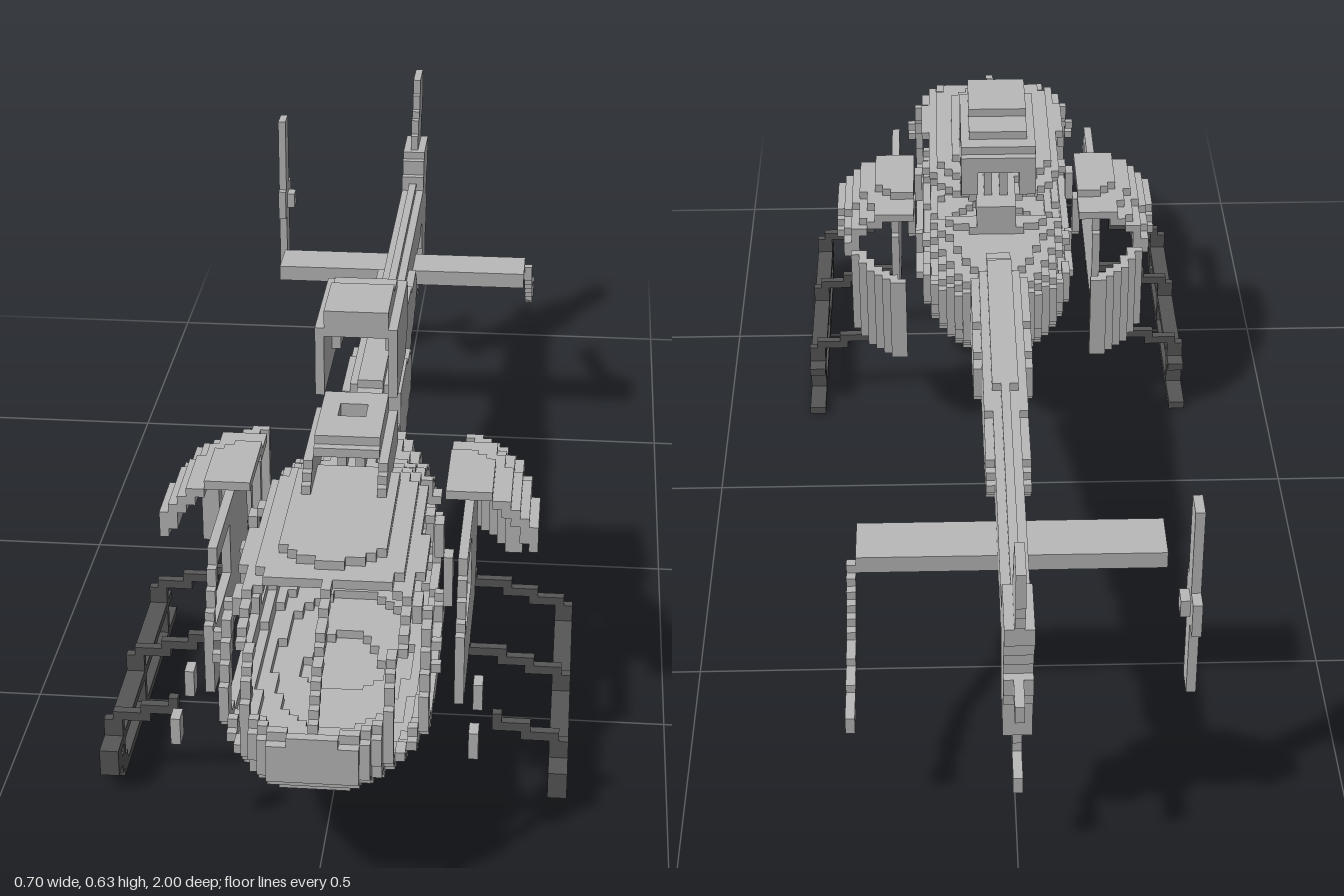
import * as THREE from 'three';

const N = 70; // cells per unit
const grey = new THREE.MeshStandardMaterial({ color: 0xb9b9b9 });
grey.name = 'light grey';
const dark = new THREE.MeshStandardMaterial({ color: 0x575757 });
dark.name = 'dark grey';

const within = (v, a, b) => v >= a && v <= b;
const near = (v, a, r) => Math.abs(v - a) <= r;

// Straight-line lookup in a rising list of [position, value] pairs
function at(table, p) {
  if (p <= table[0][0]) return table[0][1];
  for (let i = 1; i < table.length; i++) {
    const [a, u] = table[i - 1], [b, v] = table[i];
    if (p <= b) return u + (v - u) * (p - a) / (b - a);
  }
  return table[table.length - 1][1];
}

// Fills the cells that pass the test and keeps only their outer faces
function cells(name, material, [x0, x1, y0, y1, z0, z1], test) {
  const lo = [Math.floor(x0 * N), Math.floor(y0 * N), Math.floor(z0 * N)];
  const hi = [Math.ceil(x1 * N), Math.ceil(y1 * N), Math.ceil(z1 * N)];
  const full = new Set();
  const key = (i, j, k) => `${i},${j},${k}`;
  for (let i = lo[0]; i <= hi[0]; i++)
    for (let j = lo[1]; j < hi[1]; j++)
      for (let k = lo[2]; k < hi[2]; k++)
        if (test(i / N, (j + 0.5) / N, (k + 0.5) / N)) full.add(key(i, j, k));
  const pos = [], nor = [], idx = [];
  for (const c of full) {
    const p = c.split(',').map(Number);
    for (let a = 0; a < 3; a++) for (const s of [1, -1]) {
      const q = p.slice();
      q[a] += s;
      if (full.has(key(...q))) continue;
      const b = (a + 1) % 3, d = (a + 2) % 3, n = [0, 0, 0], v = pos.length / 3;
      n[a] = s;
      for (const [u, w] of [[-1, -1], [1, -1], [1, 1], [-1, 1]]) {
        const e = [p[0], p[1] + 0.5, p[2] + 0.5];
        e[a] += s / 2; e[b] += u / 2; e[d] += w / 2;
        pos.push(e[0] / N, e[1] / N, e[2] / N);
        nor.push(...n);
      }
      idx.push(...(s > 0 ? [v, v + 1, v + 2, v, v + 2, v + 3] : [v, v + 2, v + 1, v, v + 3, v + 2]));
    }
  }
  const g = new THREE.BufferGeometry();
  g.setAttribute('position', new THREE.Float32BufferAttribute(pos, 3));
  g.setAttribute('normal', new THREE.Float32BufferAttribute(nor, 3));
  g.setIndex(idx);
  const mesh = new THREE.Mesh(g, material);
  mesh.name = name;
  return mesh;
}

// Fuselage outline along z: half width, underside and top
const WIDTH = [[0.11, 0.04], [0.14, 0.06], [0.2, 0.1], [0.3, 0.13], [0.4, 0.15], [0.5, 0.158], [0.76, 0.166], [0.85, 0.15], [0.92, 0.12], [0.97, 0.085], [1, 0.06]];
const BELLY = [[0.14, 0.2], [0.2, 0.165], [0.3, 0.135], [0.45, 0.108], [0.6, 0.102], [0.8, 0.125], [0.9, 0.145], [0.97, 0.175], [1, 0.2]];
const TOP = [[0.14, 0.335], [0.3, 0.35], [0.4, 0.39], [0.48, 0.415], [0.7, 0.415], [0.8, 0.4], [0.9, 0.355], [0.97, 0.295], [1, 0.26]];
function inBody(x, y, z) {
  if (z < 0.13 || z > 1) return false;
  const lo = at(BELLY, z), hi = at(TOP, z);
  return Math.abs(x / at(WIDTH, z)) ** 2.8 + Math.abs((y - (lo + hi) / 2) / ((hi - lo) / 2)) ** 2.8 <= 1;
}
function onSkin(x, y, z) {
  const s = 1 / N;
  return inBody(x, y, z) && !(inBody(x + s, y, z) && inBody(x - s, y, z) && inBody(x, y + s, z)
    && inBody(x, y - s, z) && inBody(x, y, z + s) && inBody(x, y, z - s));
}

export function createModel() {
  const model = new THREE.Group();
  const add = (...a) => model.add(cells(...a));
  const body = [-0.18, 0.18, 0.09, 0.43, 0.1, 1];

  // Cabin tub, nose, roof and window posts cut from the skin
  add('lowerHull', grey, body, (x, y, z) => onSkin(x, y, z) && (y < 0.185 || (z > 0.93 && y < 0.27)));
  add('roof', grey, body, (x, y, z) => onSkin(x, y, z) && y > 0.375 && within(z, 0.36, 0.79));
  add('windowPosts', grey, body, (x, y, z) => {
    if (!onSkin(x, y, z) || y < 0.185) return false;
    const ax = Math.abs(x);
    const windshield = z > 0.76 && (ax < 0.011 || near(ax, at([[0.185, 0.09], [0.4, 0.115]], y), 0.008));
    const front = near(z, at([[0.18, 0.865], [0.4, 0.765]], y), 0.018) && ax > 0.1;
    const sill = z > 0.8 && y < 0.2;
    return windshield || front || sill || (near(z, 0.51, 0.012) && ax > 0.1);
  });

  // Engine bay behind the cabin
  add('engineDeck', grey, body, (x, y, z) => z < 0.36 && y > 0.298 && y < 0.345 && inBody(x, y, z));
  add('engineBlock', grey, body, (x, y, z) => within(z, 0.14, 0.37) && y > 0.17 && y < 0.31
    && Math.abs(x) < 0.085 && inBody(x, y, z));
  add('rearSkin', grey, body, (x, y, z) => z < 0.34 && y > 0.18 && onSkin(x, y, z)
    && !(within(y, 0.26, 0.3) && z > 0.26));
  add('gearbox', grey, [-0.04, 0.04, 0.33, 0.4, 0.3, 0.42], (x) => Math.abs(x) < 0.037);
  add('rearCap', grey, [-0.03, 0.03, 0.33, 0.4, 0.1, 0.19], (x, y, z) =>
    Math.abs(x) < 0.025 && near(y, at([[0.11, 0.38], [0.19, 0.345]], z), 0.016));

  // Open-ended intake fairing on the roof
  add('intakeFairing', grey, [-0.07, 0.07, 0.4, 0.48, 0.35, 0.57], (x, y, z) => {
    const ax = Math.abs(x);
    if (z > at([[0.4, 0.58], [0.475, 0.5]], y)) return false;
    return (y > 0.457 && ax < 0.052 && !(within(z, 0.38, 0.43) && ax < 0.025))
      || (y < 0.458 && within(ax, 0.045, 0.066)) || (near(ax, 0.02, 0.008) && z < 0.44 && y < 0.458);
  });

  // Raised cowling, open below and at both ends
  add('mastCowling', grey, [-0.07, 0.07, 0.49, 0.62, 0.15, 0.355], (x, y, z) => {
    const ax = Math.abs(x), top = at([[0.15, 0.592], [0.2, 0.61], [0.24, 0.622]], z);
    if (y > top || y < at([[0.15, 0.515], [0.2, 0.488]], z)) return false;
    return (y > top - 0.03 && ax < 0.052) || (y < 0.607 && within(ax, 0.05, 0.066))
      || (y > 0.517 && within(ax, 0.025, 0.052) && z < 0.25 && ax > 0.035);
  });

  // Detached side panels, mirrored left and right
  for (const s of [1, -1]) {
    const side = s > 0 ? 'left' : 'right';
    const span = s > 0 ? [0.17, 0.3] : [-0.3, -0.17];
    const panel = (name, range, test) => add(side + name, grey, [...span, ...range], (x, y, z) => test(Math.abs(x), y, z));
    panel('FrontDoor', [0.17, 0.36, 0.5, 0.72], (x, y, z) => {
      const edge = at([[0.17, 0.72], [0.26, 0.71], [0.36, 0.655]], y);
      return near(x, 0.186, 0.006) && z < edge && (y < 0.26 || y > 0.348 || z > edge - 0.018 || z < 0.525);
    });
    panel('RearDoor', [0.17, 0.36, 0.34, 0.5], (x, y, z) => near(x, 0.186, 0.006)
      && z > at([[0.17, 0.38], [0.22, 0.34], [0.3, 0.34], [0.36, 0.37]], y));
    panel('RoofPanel', [0.31, 0.4, 0.3, 0.5], (x, y, z) => {
      const k = at([[0.3, 0.82], [0.42, 1], [0.5, 1]], z);
      const r = Math.hypot((x - 0.175) / 0.118, (y - 0.305) / 0.097) / k;
      return within(r, 0.83, 1.01);
    });
    panel('RearCover', [0.18, 0.315, 0.17, 0.26], (x, y, z) =>
      near(x, at([[0.17, 0.18], [0.21, 0.225], [0.26, 0.25]], z), 0.011));
    for (const z of [0.72, 0.845])
      panel('Hinge', [0.171, 0.186, z - 0.007, z + 0.007], (x) => near(x, 0.214, 0.005));
  }

  // Tail boom, fins and stabiliser
  add('tailBoom', grey, [-0.06, 0.06, 0.19, 0.39, -0.86, 0.09], (x, y, z) => {
    const lo = at([[-0.86, 0.33], [-0.6, 0.3], [-0.3, 0.262], [0.09, 0.203]], z);
    const w = at([[-0.86, 0.018], [-0.55, 0.024], [0.09, 0.052]], z);
    const mid = (lo + 0.39) / 2;
    return y > lo && Math.abs(x / w) ** 3 + Math.abs((y - mid) / (0.392 - mid)) ** 3 <= 1.1;
  });
  add('tailRod', grey, [-0.02, 0.02, 0.314, 0.343, -0.985, -0.8], (x, y, z) => Math.abs(x) < (z > -0.93 ? 0.02 : 0.01) && near(y, 0.328, 0.01));
  add('tailFin', grey, [-0.02, 0.02, 0.18, 0.575, -1, -0.78], (x, y, z) => Math.abs(x) < (within(y, 0.2, 0.46) ? 0.018 : 0.01)
    && z < at([[0.18, -0.83], [0.3, -0.8], [0.36, -0.8], [0.42, -0.84], [0.575, -0.93]], y)
    && z > at([[0.18, -0.87], [0.22, -0.9], [0.35, -0.915], [0.575, -1.01]], y));
  add('tailBumper', grey, [-0.01, 0.01, 0.13, 0.21, -0.925, -0.81], (x, y, z) => Math.abs(x) < 0.01
    && near(y, at([[-0.925, 0.142], [-0.88, 0.15], [-0.81, 0.195]], z), 0.011));
  add('stabiliser', grey, [-0.22, 0.22, 0.3, 0.315, -0.615, -0.545], () => true);

  // Detached tail rotor blade with its hub, and the guard hoop
  add('tailRotor', grey, [-0.27, -0.24, 0.22, 0.535, -0.83, -0.77], (x, y, z) =>
    (near(x, -0.257, 0.005) && (within(z, -0.815, -0.775) || near(y, 0.37, 0.03)))
    || (near(x, -0.243, 0.005) && near(y, 0.37, 0.02) && near(z, -0.8, 0.015)));
  add('tailGuard', grey, [0.23, 0.25, 0.17, 0.31, -0.83, -0.625], (x, y, z) => near(x, 0.243, 0.005)
    && near(y, at([[-0.83, 0.186], [-0.76, 0.2], [-0.69, 0.23], [-0.645, 0.275], [-0.625, 0.3]], z), 0.013));

  // Landing gear: rail, step bar and three bent legs on each side
  const LEG = [[0.18, 0.152], [0.193, 0.138], [0.24, 0.136], [0.25, 0.122], [0.28, 0.12], [0.3, 0.107], [0.325, 0.107], [0.35, 0.08]];
  for (const s of [1, -1]) {
    const side = s > 0 ? 'left' : 'right';
    const span = s > 0 ? [0.17, 0.36] : [-0.36, -0.17];
    const gear = (name, range, test) => add(side + name, dark, [...span, ...range], (x, y, z) => test(Math.abs(x), y, z));
    gear('Skid', [0, 0.072, 0.242, 0.757], (x, y, z) => near(x, 0.336, 0.01)
      && ((y < 0.0143 && z < 0.7) || (z > 0.69 && near(y, at([[0.69, 0.015], [0.72, 0.03], [0.757, 0.055]], z), 0.017))));
    gear('Step', [0.058, 0.071, 0.272, 0.757], (x) => near(x, 0.336, 0.01));
    for (const z of [0.307, 0.521, 0.707])
      gear('Leg', [0, 0.17, z - 0.006, z + 0.006], (x, y) =>
        (x > (z > 0.7 ? 0.24 : 0.175) && x < 0.346 && near(y, at(LEG, x), 0.011)) || (near(x, 0.336, 0.01) && y < 0.1));
  }
  return model;
}
